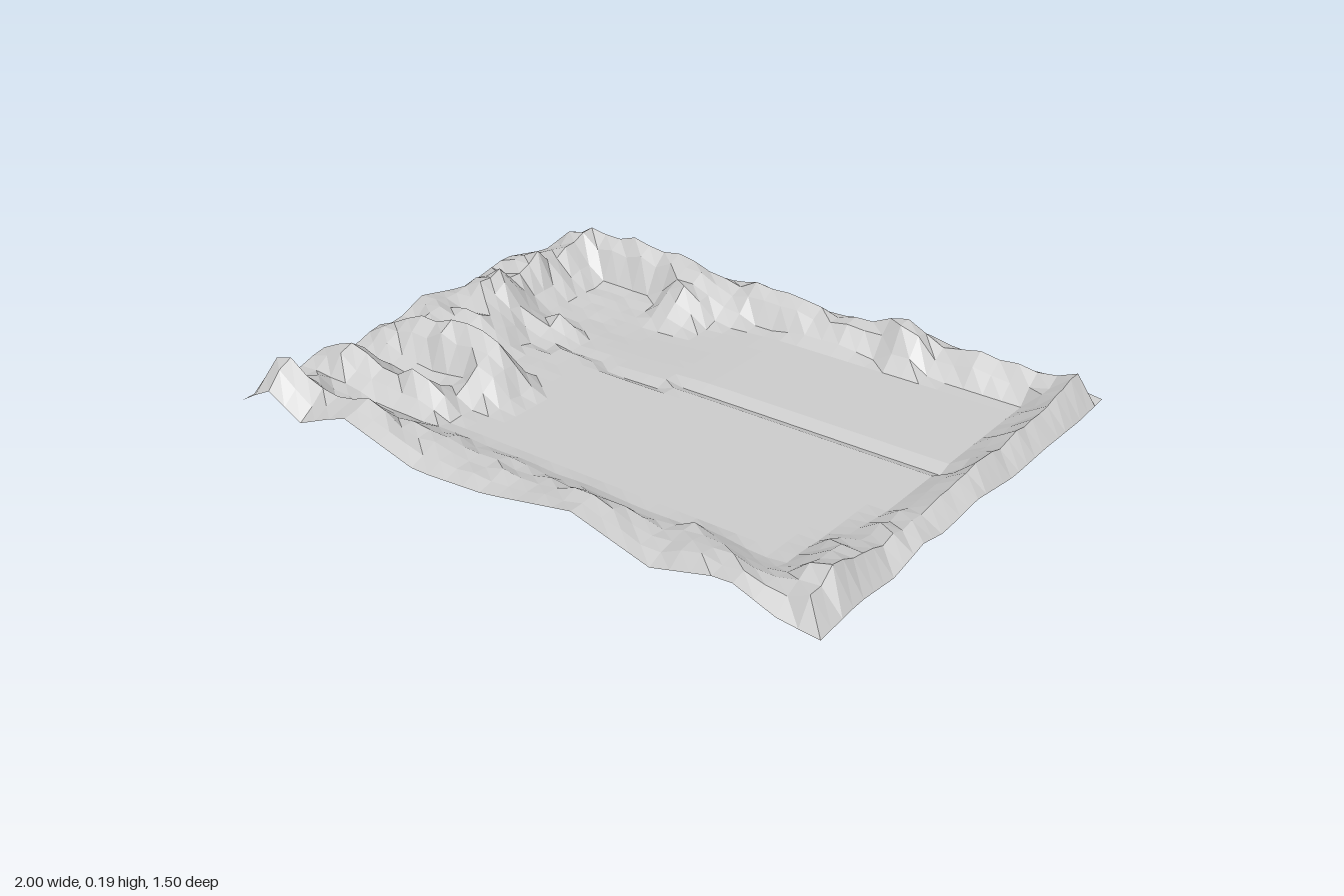
import * as THREE from 'three';

const { lerp, smoothstep, clamp } = THREE.MathUtils;

// Height along a polyline of [position, height] points
function profile(points, t) {
  for (let i = 1; i < points.length; i++) {
    const [a, ha] = points[i - 1], [b, hb] = points[i];
    if (t <= b) return lerp(ha, hb, clamp((t - a) / (b - a), 0, 1));
  }
  return points[points.length - 1][1];
}

// Repeatable roughness between -1 and 1
function rough(x, z) {
  const n = Math.sin(Math.round(x * 16) * 12.99 + Math.round(z * 21.33) * 78.23) * 43758.55;
  return (n - Math.floor(n)) * 2 - 1;
}

// Each side: outer edge height, crest height, foot distance and crest distance from the edge
const sides = {
  front: {
    edge: [[-1, .05], [-.88, .12], [-.75, .055], [-.57, .13], [-.3, .055], [-.05, .07], [.25, .125], [.5, .055], [.73, .115], [.88, .06], [1, .05]],
    crest: [[-1, .12], [-.88, .19], [-.72, .11], [-.57, .15], [-.3, .085], [0, .1], [.25, .13], [.45, .085], [.63, .13], [.85, .1], [.92, .15], [1, .11]],
    foot: [[-1, .2], [-.7, .2], [-.55, .25], [-.3, .3], [-.15, .24], [.1, .28], [.3, .24], [.5, .28], [.7, .24], [1, .28]],
    peak: .07,
  },
  back: {
    edge: [[-1, .1], [-.8, .125], [-.55, .11], [-.4, .08], [-.2, .11], [0, .08], [.25, .09], [.4, .11], [.6, .07], [.8, .09], [1, .06]],
    crest: [[-1, .12], [-.85, .16], [-.62, .17], [-.42, .14], [-.25, .1], [-.18, .135], [0, .125], [.13, .1], [.25, .13], [.37, .17], [.5, .1], [.63, .13], [.85, .1], [.92, .16], [1, .11]],
    foot: [[-1, .15], [-.55, .15], [-.42, .24], [-.32, .28], [-.2, .2], [-.1, .14], [.1, .19], [.2, .19], [.3, .15], [.42, .2], [.52, .15], [1, .14]],
    peak: .055,
  },
  right: {
    edge: [[-.75, .06], [-.6, .05], [-.4, .055], [-.2, .05], [0, .075], [.18, .06], [.28, .08], [.42, .05], [.58, .065], [.75, .05]],
    crest: [[-.75, .1], [-.66, .16], [-.5, .11], [-.4, .12], [-.2, .11], [0, .115], [.2, .1], [.4, .105], [.6, .16], [.75, .1]],
    foot: [[-.75, .18], [.1, .18], [.3, .26], [.6, .3]],
    peak: .065,
  },
  left: {
    edge: [[-.75, .11], [-.6, .08], [-.4, .12], [-.2, .08], [0, .12], [.12, .07], [.2, .09], [.32, .05], [.43, .1], [.55, .06], [.75, .05]],
    crest: [[-.75, .12], [-.65, .16], [-.5, .12], [-.42, .16], [-.33, .11], [-.2, .17], [-.05, .1], [.05, .14], [.12, .1], [.2, .15], [.32, .055], [.43, .15], [.53, .07], [.65, .13], [.75, .1]],
    foot: [[-.75, .24], [-.32, .24], [-.2, .4], [0, .44], [.3, .4], [.75, .4]],
    peak: .11,
  },
};

// Rocky hills: x, z, height, half length, half width
const hills = [
  [-.62, .19, .2, .28, .1], [-.48, .28, .09, .13, .1], [-.6, .42, .1, .17, .09],
  [-.72, -.03, .05, .12, .09], [-.62, -.22, .06, .1, .07], [-.38, -.55, .09, .13, .12],
  [-.88, .65, .05, .1, .08], [.42, -.63, .04, .09, .06], [.52, .57, .04, .12, .07],
  [-.12, .56, .025, .14, .07], [.82, .45, .03, .08, .12], [-.32, .6, .03, .08, .08],
];

// Flat ground crossed by a shallow channel, with a hollow at the back left
const bank = [[-1, -.09], [-.62, -.09], [-.5, -.19], [-.4, -.19], [-.3, -.14], [-.1, -.14], [-.06, -.1875], [1, -.1875]];
function floorHeight(x, z) {
  const hollow = .012 * Math.exp(-(((x + .5) / .28) ** 2) - ((z + .4) / .15) ** 2);
  const back = lerp(.019, .033, smoothstep(x, -.35, .05)) - hollow;
  const bed = lerp(.012, .018, smoothstep(x, -.35, .05));
  return profile([[0, back], [.047, bed], [.094, .038]], z - profile(bank, x));
}

// Height one side's rim adds above the floor
function rimHeight(side, along, distance, floor) {
  const crest = profile(side.crest, along);
  if (distance < side.peak) return lerp(profile(side.edge, along), crest, distance / side.peak) - floor;
  return (crest - floor) * (1 - smoothstep(distance, side.peak, profile(side.foot, along)));
}

function terrainHeight(x, z) {
  const floor = floorHeight(x, z);
  const d = { front: .75 - z, back: z + .75, right: 1 - x, left: x + 1 };
  const along = (name) => (name === 'front' || name === 'back' ? x : z);

  // The outermost vertices follow the edge line
  const nearest = Object.keys(d).reduce((a, b) => (d[b] < d[a] ? b : a));
  if (d[nearest] < .01) return profile(sides[nearest].edge, along(nearest));

  let rise = 0;
  for (const name in sides) rise = Math.max(rise, rimHeight(sides[name], along(name), d[name], floor));
  for (const [hx, hz, h, length, width] of hills) {
    const r = Math.hypot((x - hx) / length, (z - hz) / width);
    rise += h * Math.max(0, 1 - r) * (1 - rise / .22);
  }
  const leftRoughness = 1 - smoothstep(x, -.6, -.35);
  rise += rough(x, z) * (.012 * smoothstep(rise, .01, .06) + .004 * leftRoughness);
  return clamp(floor + rise, 0, .195);
}

export function createModel() {
  const group = new THREE.Group();
  group.name = 'terrain';

  // Faceted ground sheet
  const geometry = new THREE.PlaneGeometry(1.5, 2, 32, 32).rotateX(-Math.PI / 2).rotateY(Math.PI / 2);
  const position = geometry.attributes.position;
  let lowest = Infinity;
  for (let i = 0; i < position.count; i++) {
    const y = terrainHeight(position.getX(i), position.getZ(i));
    position.setY(i, y);
    lowest = Math.min(lowest, y);
  }
  geometry.translate(0, -lowest, 0);
  geometry.computeVertexNormals();

  const material = new THREE.MeshStandardMaterial({ color: 0xcccccc, flatShading: true, side: THREE.DoubleSide });
  const ground = new THREE.Mesh(geometry, material);
  ground.name = 'ground';
  group.add(ground);
  return group;
}
